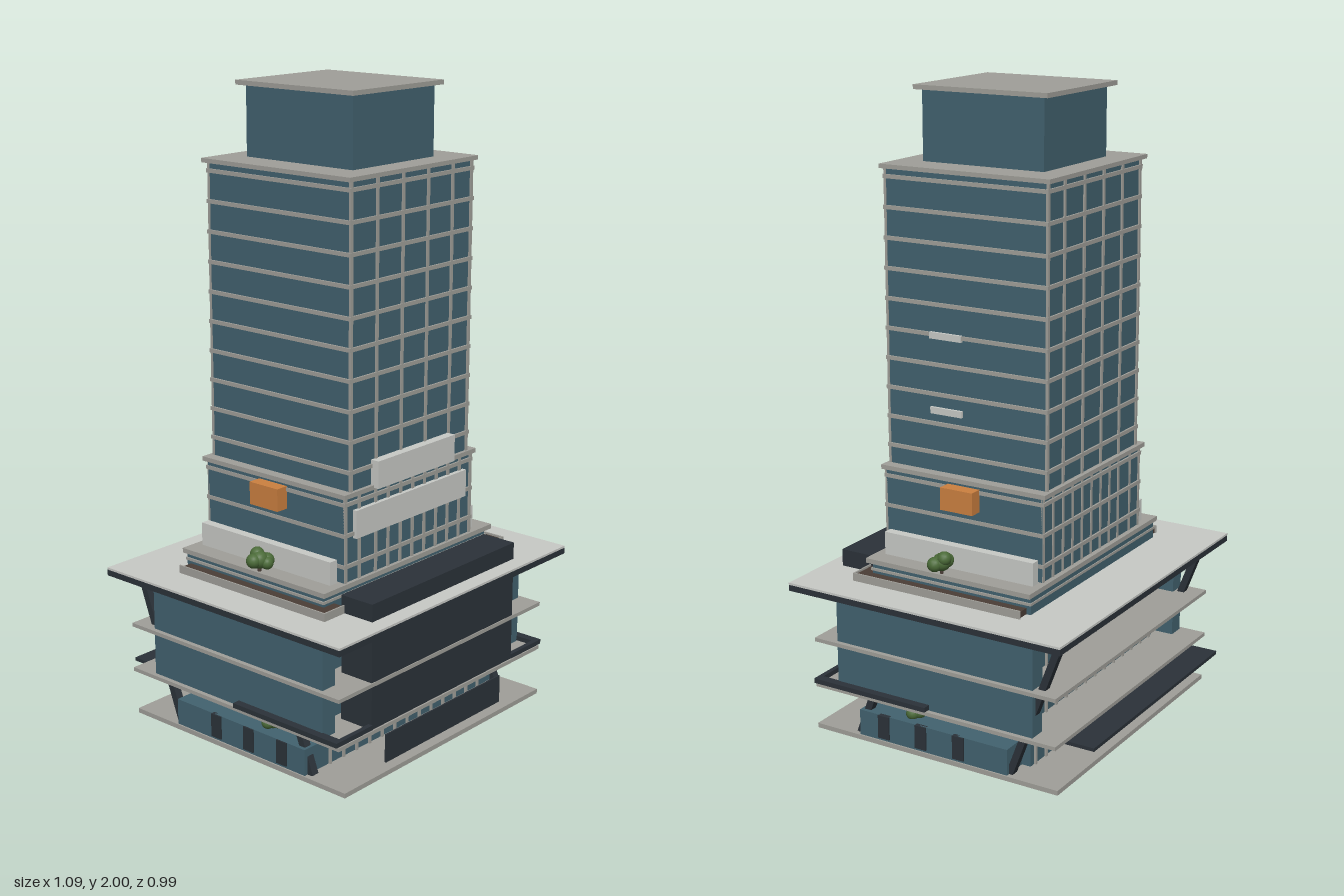
import * as THREE from 'three';

const mat = (name, color) => new THREE.MeshStandardMaterial({ name, color });

export function createModel() {
  const M = {
    glass: mat('teal glass', 0x42626f),
    stone: mat('warm grey concrete', 0xa09f99),
    white: mat('pale panel', 0xc8cac6),
    dark: mat('charcoal cladding', 0x2b3239),
    orange: mat('orange accent', 0xcc8040),
    wood: mat('brown decking', 0x4a3d36),
    leaf: mat('leaf green', 0x4b6b38),
    red: mat('red accent', 0xb0483a),
  };
  const root = new THREE.Group();
  root.name = 'officeTower';

  const add = (name, geo, m) => {
    const mesh = new THREE.Mesh(geo, M[m]);
    mesh.name = name;
    root.add(mesh);
    return mesh;
  };
  // Box given by its extents on each axis
  const box = (name, m, x0, x1, y0, y1, z0, z1) => {
    const b = add(name, new THREE.BoxGeometry(x1 - x0, y1 - y0, z1 - z0), m);
    b.position.set((x0 + x1) / 2, (y0 + y1) / 2, (z0 + z1) / 2);
    return b;
  };
  const wide = (name, m, x, y0, y1, z0, z1) => box(name, m, -x, x, y0, y1, z0, z1);
  const pair = (name, m, x0, x1, ...r) => {
    box(name + 'Left', m, x0, x1, ...r);
    box(name + 'Right', m, -x1, -x0, ...r);
  };

  // Ground slab and feet
  wide('groundSlab', 'stone', 0.475, 0.022, 0.037, -0.415, 0.45);
  pair('foot', 'dark', 0.1, 0.16, 0, 0.022, -0.02, 0.055);

  // Podium core, side glass wings and low ground floor pavilions
  wide('podiumCore', 'glass', 0.385, 0.037, 0.575, -0.27, 0.29);
  pair('sideWing', 'glass', 0.42, 0.475, 0.18, 0.465, -0.33, 0.365);
  pair('pavilion', 'glass', 0.385, 0.47, 0.037, 0.12, -0.24, 0.29);
  for (const z of [0.2, 0.065, -0.07])
    pair('sideDoor', 'dark', 0.46, 0.475, 0.045, 0.12, z - 0.02, z + 0.02);

  // Podium floor slabs and overhanging roof
  wide('lowerSlab', 'stone', 0.49, 0.17, 0.182, -0.415, 0.44);
  wide('middleSlab', 'stone', 0.49, 0.32, 0.332, -0.415, 0.44);
  wide('roofRim', 'dark', 0.545, 0.495, 0.514, -0.46, 0.49);
  wide('roofTop', 'white', 0.545, 0.514, 0.521, -0.46, 0.49);
  wide('roofSoffit', 'stone', 0.525, 0.488, 0.495, -0.44, 0.47);
  pair('slabEdge', 'dark', 0.472, 0.5, 0.185, 0.2, 0.03, 0.44);
  pair('slabEdgeFront', 'dark', 0.34, 0.472, 0.185, 0.2, 0.425, 0.44);

  // Podium mullions, front and back
  for (const z of [-0.272, 0.292])
    for (let i = -6; i <= 6; i++)
      box('podiumMullion', 'stone', i * 0.06 - 0.004, i * 0.06 + 0.004, 0.037, 0.49, z - 0.005, z + 0.005);
  for (const y of [0.11, 0.25, 0.41]) wide('podiumRail', 'stone', 0.386, y, y + 0.008, -0.277, 0.297);

  // Dark front screen and hanging panel
  wide('frontScreen', 'dark', 0.342, 0.184, 0.575, 0.32, 0.437);
  wide('entrancePanel', 'dark', 0.28, 0.058, 0.148, 0.436, 0.441);

  // Raking columns: all lean backward as they rise
  for (const s of [-1, 1])
    for (const z of [0.3, -0.24]) {
      const c = add('rakingColumn', new THREE.BoxGeometry(0.025, 0.488, 0.022), 'dark');
      c.position.set(s * 0.445, 0.264, z - 0.085);
      c.rotation.x = -Math.atan2(0.17, 0.455);
    }

  // Rear canopy, display shelf and steps
  wide('rearCanopy', 'dark', 0.408, 0.154, 0.165, -0.497, -0.355);
  wide('rearShelf', 'stone', 0.24, 0.117, 0.123, -0.325, -0.27);
  wide('rearPanel', 'dark', 0.24, 0.12, 0.148, -0.327, -0.322);
  const accents = ['orange', 'leaf', 'red', 'white'];
  for (let i = 0; i < 16; i++) {
    const x = -0.21 + i * 0.028;
    box('displayTile', accents[(i * 3 + (i >> 2)) % 4], x - 0.007, x + 0.007, 0.127, 0.143, -0.331, -0.326);
  }
  box('rearStepLow', 'white', -0.4, -0.3, 0.037, 0.055, -0.305, -0.27);
  box('rearStepHigh', 'white', -0.4, -0.3, 0.055, 0.075, -0.29, -0.27);

  // Timber terrace with pale rim
  pair('terraceDeck', 'wood', 0.385, 0.425, 0.521, 0.54, -0.255, 0.328);
  pair('terraceDeckFront', 'wood', 0.34, 0.39, 0.521, 0.54, 0.29, 0.328);
  pair('terraceRim', 'stone', 0.425, 0.43, 0.521, 0.546, -0.26, 0.333);
  pair('terraceRimFront', 'stone', 0.34, 0.43, 0.521, 0.546, 0.328, 0.333);
  wide('terraceSlab', 'stone', 0.4, 0.575, 0.59, -0.275, 0.305);
  wide('terraceBand', 'stone', 0.39, 0.55, 0.558, -0.273, 0.294);
  pair('terraceWall', 'white', 0.31, 0.34, 0.59, 0.662, -0.25, 0.275);

  // Lower tower
  wide('lowerTower', 'glass', 0.3, 0.59, 0.852, -0.258, 0.293);
  for (const y of [0.64, 0.735, 0.83])
    wide('lowerBand', 'stone', 0.303, y - 0.006, y + 0.006, -0.264, 0.299);
  wide('lowerCornice', 'stone', 0.31, 0.85, 0.864, -0.272, 0.305);
  pair('sideBay', 'orange', 0.3, 0.342, 0.77, 0.84, -0.042, 0.07);

  // Upper tower
  wide('upperTower', 'glass', 0.275, 0.86, 1.765, -0.256, 0.293);
  for (let i = 0; i < 10; i++) {
    const y = 0.922 + i * 0.0908;
    wide('floorBand', 'stone', 0.281, y - 0.006, y + 0.006, -0.262, 0.299);
  }
  wide('towerCornice', 'stone', 0.29, 1.763, 1.776, -0.272, 0.305);

  // Tower mullions, front and back only
  for (const z of [-0.257, 0.294]) {
    for (const x of [-0.272, -0.16, -0.046, 0.068, 0.182, 0.272])
      box('towerMullion', 'stone', x - 0.005, x + 0.005, 0.86, 1.765, z - 0.004, z + 0.004);
    for (const x of [-0.295, -0.235, -0.16, -0.103, -0.046, 0.011, 0.068, 0.125, 0.182, 0.24, 0.295])
      box('lowerMullion', 'stone', x - 0.005, x + 0.005, 0.59, 0.855, z - 0.004, z + 0.004);
  }

  // Pale panels on the front and small ledges on the left side
  wide('upperFrontPanel', 'white', 0.18, 0.856, 0.94, 0.29, 0.322);
  wide('lowerFrontPanel', 'white', 0.26, 0.72, 0.806, 0.29, 0.307);
  for (const y of [1.054, 1.283])
    box('sideLedge', 'white', 0.274, 0.284, y - 0.01, y + 0.01, 0.03, 0.14);

  // Rooftop crown
  wide('crown', 'glass', 0.182, 1.776, 1.986, -0.19, 0.222);
  wide('crownCap', 'stone', 0.203, 1.986, 2, -0.213, 0.24);

  // Trees made of overlapping leaf clumps
  const clumps = [
    [0, 0, 0, 0.028], [0.02, -0.004, 0.012, 0.023], [-0.02, 0, -0.004, 0.023],
    [0.004, 0.014, -0.012, 0.022], [0.01, -0.008, 0.022, 0.02],
  ];
  const tree = (x, y, z, k) => {
    const trunk = add('treeTrunk', new THREE.CylinderGeometry(0.005, 0.006, 0.05, 8), 'wood');
    trunk.position.set(x, y - 0.025, z);
    for (const [a, b, c, r] of clumps) {
      const leaf = add('treeCrown', new THREE.IcosahedronGeometry(r * k, 2), 'leaf');
      leaf.position.set(x + a * k, y + b * k, z + c * k);
    }
  };
  for (const s of [-1, 1]) {
    tree(s * 0.387, 0.626, 0.037, 1);
    tree(s * 0.412, 0.137, 0.11, 0.9);
  }
  return root;
}
